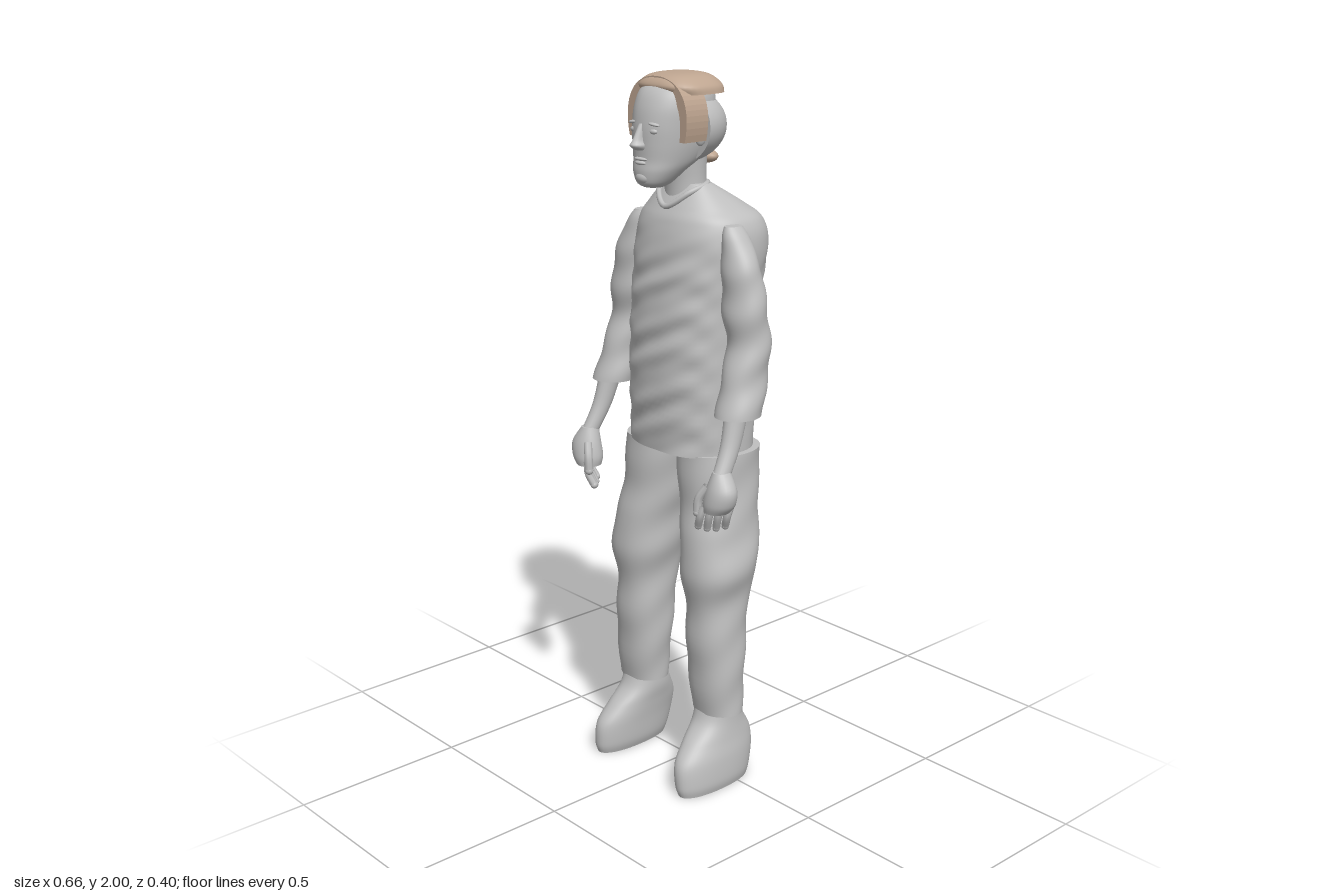
import * as THREE from 'three';

const cloth = new THREE.MeshStandardMaterial({ color: 0xbfbfbf, side: THREE.DoubleSide });
cloth.name = 'plain grey';
const hairMat = new THREE.MeshStandardMaterial({ color: 0xbea590, side: THREE.DoubleSide });
hairMat.name = 'light brown';

// smooth value between the rows of a ring table
function spline(rows, t, k) {
  const i = Math.min(Math.floor(t), rows.length - 2), f = t - i;
  const at = j => rows[Math.max(0, Math.min(rows.length - 1, j))][k];
  const a = at(i - 1), b = at(i), c = at(i + 1), d = at(i + 2);
  return b + 0.5 * f * (c - a + f * (2 * a - 5 * b + 4 * c - d + f * (3 * (b - c) + d - a)));
}

// closed body through rings [y, centre x, half width, front z, back z], listed upwards
function loft(rings, { p = 2, steps = 6, n = 40, side = 1, shift = () => 0, fold = () => 0 } = {}) {
  const pos = [], idx = [], rows = (rings.length - 1) * steps;
  for (let r = 0; r <= rows; r++) {
    const [y, cx, rx, zf, zb] = [0, 1, 2, 3, 4].map(k => spline(rings, r / steps, k));
    for (let i = 0; i < n; i++) {
      const a = i / n * Math.PI * 2, c = Math.cos(a), s = Math.sin(a), g = fold(y, a);
      pos.push(
        cx * side + shift(y) + Math.sign(c) * Math.abs(c) ** (2 / p) * (rx + g), y,
        (zf + zb) / 2 + Math.sign(s) * Math.abs(s) ** (2 / p) * ((zf - zb) / 2 + g));
      if (r < rows) {
        const A = r * n + i, B = r * n + (i + 1) % n;
        idx.push(A, A + n, B, B, A + n, B + n);
      }
    }
  }
  // end caps with their own corners, so the rims stay sharp
  for (const r of [0, rows]) {
    const base = pos.length / 3, ring = pos.slice(r * n * 3, (r + 1) * n * 3);
    pos.push(...ring);
    let x = 0, z = 0;
    for (let i = 0; i < n; i++) { x += ring[i * 3] / n; z += ring[i * 3 + 2] / n; }
    pos.push(x, ring[1], z);
    for (let i = 0; i < n; i++) {
      const A = base + i, B = base + (i + 1) % n;
      r ? idx.push(base + n, B, A) : idx.push(base + n, A, B);
    }
  }
  const geo = new THREE.BufferGeometry();
  geo.setAttribute('position', new THREE.Float32BufferAttribute(pos, 3));
  geo.setIndex(idx);
  geo.computeVertexNormals();
  return geo;
}

export function createModel() {
  const model = new THREE.Group();
  model.name = 'standingMan';
  const add = (name, geo, mat = cloth) => {
    const m = new THREE.Mesh(geo, mat);
    m.name = name;
    model.add(m);
    return m;
  };
  const blob = (name, x, y, z, rx, ry, rz, mat) => {
    const m = add(name, new THREE.SphereGeometry(1, 20, 14), mat);
    m.position.set(x, y, z);
    m.scale.set(rx, ry, rz);
    return m;
  };
  const tube = (name, pts, r, closed = false) => add(name, new THREE.TubeGeometry(
    new THREE.CatmullRomCurve3(pts.map(q => new THREE.Vector3(...q)), closed), closed ? 40 : 10, r, 8, closed));

  // shirt with horizontal creases on front and back
  const creases = (y, a) => {
    const fade = Math.min(1, Math.max(0, (1.62 - y) * 6)) * Math.sin(a) ** 2;
    return fade * (0.004 * Math.sin(y * 62 + 2.5 * Math.cos(a * 3)) + 0.002 * Math.sin(y * 95 + a * 9));
  };
  add('shirt', loft([
    [0.98, 0.003, 0.186, 0.125, -0.157], [1.2, 0.003, 0.185, 0.132, -0.167],
    [1.4, 0.006, 0.185, 0.125, -0.178], [1.54, 0.01, 0.19, 0.112, -0.199],
    [1.61, 0.01, 0.177, 0.098, -0.185], [1.65, 0.008, 0.14, 0.08, -0.138],
    [1.71, 0.006, 0.075, 0.045, -0.04]], { p: 2.3, steps: 14, n: 72, fold: creases }));

  // collar dipping to a point under the chin
  tube('collar', [[0.006, 1.705, -0.045], [0.072, 1.708, -0.005], [0.066, 1.69, 0.05],
    [0.006, 1.65, 0.083], [-0.054, 1.69, 0.05], [-0.06, 1.708, -0.005]], 0.008, true);
  add('neck', loft([[1.64, 0.006, 0.062, 0.065, -0.05], [1.72, 0.006, 0.056, 0.068, -0.046],
    [1.82, 0.006, 0.06, 0.09, -0.05]]));

  // head and face
  add('head', loft([
    [1.708, 0.006, 0.026, 0.15, 0.095], [1.72, 0.006, 0.043, 0.168, 0.07],
    [1.75, 0.006, 0.063, 0.173, 0.03], [1.78, 0.007, 0.076, 0.17, -0.02],
    [1.82, 0.008, 0.086, 0.171, -0.05], [1.87, 0.009, 0.092, 0.17, -0.06],
    [1.92, 0.01, 0.094, 0.16, -0.06], [1.96, 0.01, 0.084, 0.138, -0.05],
    [1.988, 0.01, 0.05, 0.095, -0.015]], { p: 2.2 }));
  add('nose', loft([[1.808, 0.007, 0.014, 0.185, 0.15], [1.82, 0.007, 0.019, 0.201, 0.15],
    [1.835, 0.007, 0.012, 0.193, 0.15], [1.875, 0.008, 0.008, 0.173, 0.15]], { n: 16 }));
  blob('upperLip', 0.007, 1.784, 0.168, 0.024, 0.005, 0.009);
  blob('lowerLip', 0.007, 1.774, 0.168, 0.02, 0.006, 0.01);
  blob('chin', 0.007, 1.735, 0.158, 0.026, 0.018, 0.018);
  for (const s of [-1, 1]) {
    blob('eye', 0.008 + s * 0.036, 1.857, 0.157, 0.015, 0.008, 0.009);
    blob('brow', 0.008 + s * 0.036, 1.876, 0.157, 0.023, 0.005, 0.01).rotation.z = -s * 0.12;
    blob('ear', 0.009 + s * 0.098, 1.85, 0.05, 0.012, 0.034, 0.02);
  }

  // rounded shell at the back of the skull, closed by a flat front
  const shell = add('skullBack', new THREE.SphereGeometry(1, 32, 24, Math.PI, Math.PI));
  shell.rotation.y = Math.PI;
  shell.scale.set(0.124, 0.1, 0.131);
  shell.position.set(0.01, 1.862, 0.04);
  shell.rotation.y = 0;
  shell.geometry.rotateY(Math.PI);
  // keep the shell on the rear side
  shell.geometry.computeBoundingBox();
  if (shell.geometry.boundingBox.max.z > 0.5) shell.geometry.rotateY(Math.PI);
  const rim = add('skullRim', new THREE.CircleGeometry(1, 32));
  rim.scale.set(0.124, 0.1, 1);
  rim.position.set(0.01, 1.862, 0.04);

  // hair: crown, arch with sideburns, and nape tuft
  add('hairCrown', loft([
    [1.948, 0.01, 0.112, 0.118, -0.066], [1.968, 0.01, 0.106, 0.13, -0.064],
    [1.988, 0.01, 0.08, 0.115, -0.045], [1.997, 0.01, 0.052, 0.085, -0.02],
    [2.0, 0.01, 0.012, 0.045, 0.02]], { p: 2.6 }), hairMat);
  const arch = new THREE.Shape();
  arch.moveTo(-0.108, 1.83);
  arch.bezierCurveTo(-0.135, 1.93, -0.09, 1.992, 0, 1.992);
  arch.bezierCurveTo(0.09, 1.992, 0.135, 1.93, 0.108, 1.83);
  arch.lineTo(0.088, 1.83);
  arch.bezierCurveTo(0.1, 1.92, 0.07, 1.955, 0, 1.955);
  arch.bezierCurveTo(-0.07, 1.955, -0.1, 1.92, -0.088, 1.83);
  const archGeo = new THREE.ExtrudeGeometry(arch, { depth: 0.075, bevelEnabled: false, curveSegments: 16 });
  add('hairSides', archGeo, hairMat).position.set(0.01, 0, 0.04);
  blob('napeHair', 0.01, 1.773, -0.05, 0.05, 0.02, 0.03, hairMat);

  for (const side of [-1, 1]) {
    const label = side > 0 ? 'left' : 'right';

    // sleeve, forearm and hand
    const lean = y => 0.03 * Math.max(0, y - 1.12);
    add(label + 'Sleeve', loft([
      [1.12, 0.254, 0.061, 0.11, -0.02], [1.2, 0.246, 0.058, 0.09, -0.042],
      [1.3, 0.238, 0.059, 0.06, -0.058], [1.4, 0.226, 0.064, 0.064, -0.047],
      [1.5, 0.213, 0.057, 0.06, -0.037], [1.58, 0.19, 0.036, 0.052, -0.027],
      [1.615, 0.178, 0.019, 0.04, -0.015]], {
      side, shift: lean, steps: 8,
      fold: (y, a) => 0.003 * Math.sin(y * 50 + 2 * Math.sin(a)) * Math.min(1, (1.615 - y) * 8),
    }));
    add(label + 'Forearm', loft([
      [0.97, 0.274, 0.022, 0.155, 0.1], [1.05, 0.266, 0.025, 0.115, 0.055],
      [1.15, 0.258, 0.03, 0.09, 0.02]], { side, n: 20 }));
    add(label + 'Palm', loft([
      [0.875, 0.268, 0.036, 0.172, 0.102], [0.9, 0.276, 0.047, 0.176, 0.093],
      [0.94, 0.282, 0.045, 0.17, 0.095], [0.985, 0.274, 0.022, 0.152, 0.1]], { side, n: 24 }));
    for (let i = 0; i < 4; i++) {
      const x = 0.295 - 0.017 * i, z = 0.112 + 0.017 * i, tip = 0.828 - 0.008 * Math.sin(i);
      tube(label + 'Finger', [[side * x, 0.89, z], [side * (x - 0.008), 0.86, z + 0.004],
        [side * (x - 0.024), tip, z - 0.004]], 0.0105);
      blob(label + 'Fingertip', side * (x - 0.024), tip, z - 0.004, 0.0105, 0.0105, 0.0105);
    }
    tube(label + 'Thumb', [[side * 0.25, 0.945, 0.155], [side * 0.232, 0.91, 0.168],
      [side * 0.228, 0.87, 0.17]], 0.012);
    blob(label + 'ThumbTip', side * 0.228, 0.87, 0.17, 0.012, 0.012, 0.012);

    // trouser leg with a baggy knee
    add(label + 'TrouserLeg', loft([
      [0.215, 0.16, 0.076, 0.08, -0.045], [0.4, 0.153, 0.082, 0.1, -0.06],
      [0.55, 0.148, 0.08, 0.105, -0.077], [0.65, 0.148, 0.097, 0.122, -0.1],
      [0.75, 0.135, 0.094, 0.111, -0.12], [0.85, 0.117, 0.097, 0.1, -0.13],
      [0.985, 0.105, 0.101, 0.1, -0.145]], {
      p: 2.2, side, steps: 8, shift: y => -0.015 * (1 - y),
      fold: (y, a) => 0.002 * Math.sin(y * 40 + 3 * Math.sin(a)),
    }));

    // shoe with a long toe and flat sole
    add(label + 'Shoe', loft([
      [0, 0.18, 0.043, 0.188, -0.06], [0.03, 0.178, 0.052, 0.195, -0.072],
      [0.09, 0.173, 0.056, 0.188, -0.088], [0.14, 0.165, 0.057, 0.145, -0.088],
      [0.19, 0.158, 0.06, 0.092, -0.064], [0.25, 0.158, 0.06, 0.07, -0.04]], {
      p: 2.2, side, shift: y => -0.06 * y,
    }));
  }
  return model;
}
